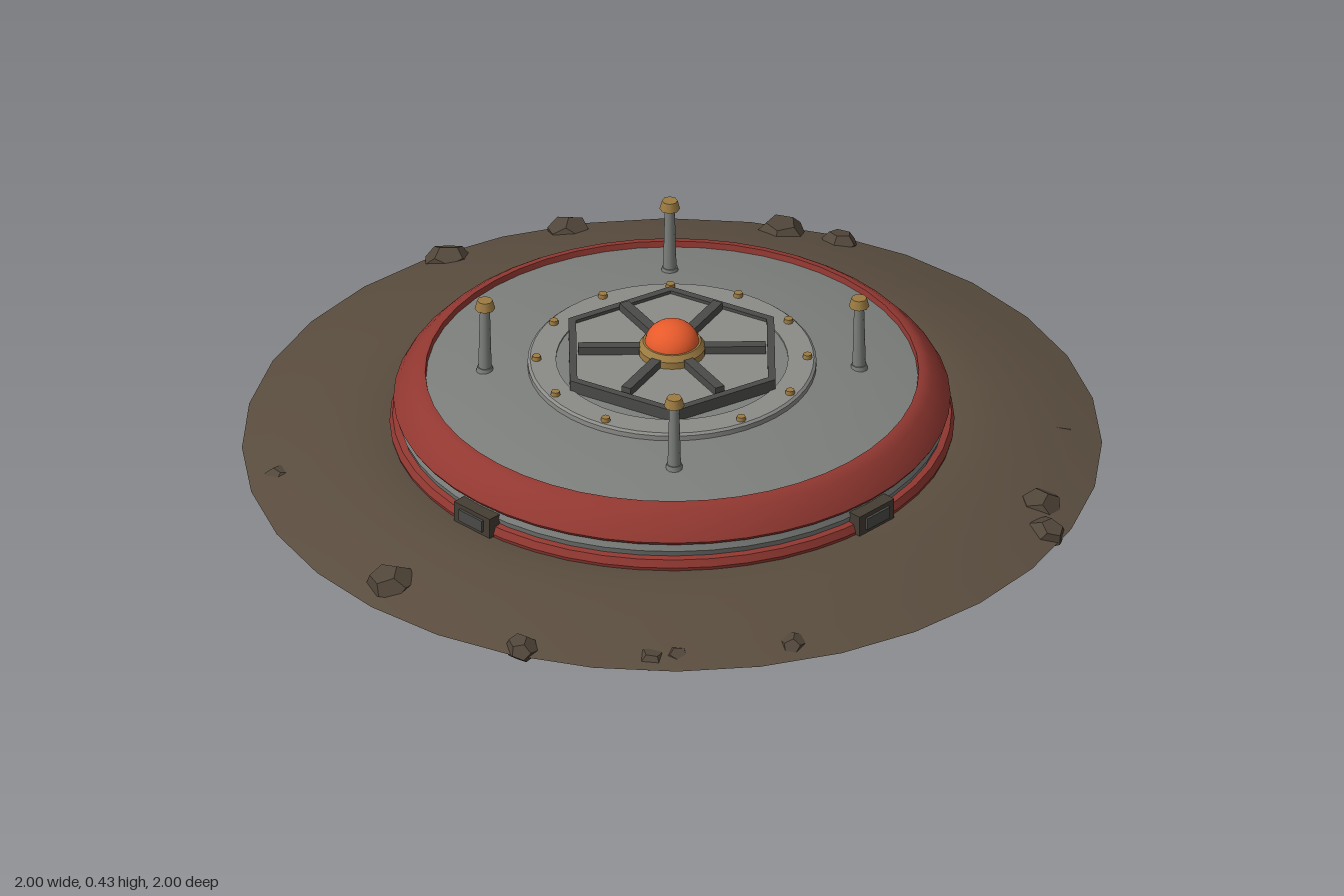
import * as THREE from 'three';
import { toCreasedNormals } from 'three/addons/utils/BufferGeometryUtils.js';

export function createModel() {
  const model = new THREE.Group();
  const mat = (name, color, extra = {}) => {
    const m = new THREE.MeshStandardMaterial({ color, ...extra });
    m.name = name;
    return m;
  };
  const soil = mat('soil', 0x5a4d3f);
  const stone = mat('stone', 0x51463a, { flatShading: true });
  const red = mat('red paint', 0x923831);
  const steel = mat('steel', 0x7c7f7b);
  const paleSteel = mat('pale steel', 0x8b8b88);
  const darkSteel = mat('dark steel', 0x4a4a48);
  const iron = mat('dark iron', 0x453d33);
  const brass = mat('brass', 0x9c7b42);
  const orange = mat('orange lamp', 0xe65a2b);

  const add = (name, geo, material, x = 0, y = 0, z = 0, parent = model) => {
    const mesh = new THREE.Mesh(geo, material);
    mesh.name = name;
    mesh.position.set(x, y, z);
    parent.add(mesh);
    return mesh;
  };
  const lathe = (name, points, segments, material, crease = 0.45) => add(name,
    toCreasedNormals(new THREE.LatheGeometry(points.map(p => new THREE.Vector2(...p)), segments), crease), material);

  // Soil mound with a flat underside
  lathe('soilMound', [[0, 0.03], [1, 0.03], [0.93, 0.052], [0.85, 0.073], [0.77, 0.09],
    [0.71, 0.096], [0.66, 0.092], [0.58, 0.08], [0, 0.08]], 32, soil, 0.6);

  // Faceted stones around the rim: x, z, radius, height of centre
  const stones = [
    [-0.51, -0.81, 0.057, 0.037], [-0.23, -0.935, 0.056, 0.036], [0.265, -0.92, 0.062, 0.037],
    [0.40, -0.87, 0.044, 0.042], [0.90, -0.02, 0.042, 0.034], [0.85, 0.30, 0.056, 0.045],
    [0.865, 0.405, 0.052, 0.036], [-0.91, 0.14, 0.042, 0.034], [-0.66, 0.63, 0.062, 0.05],
    [-0.36, 0.90, 0.046, 0.036], [-0.06, 0.945, 0.038, 0.03], [0, 0.935, 0.034, 0.033],
    [0.27, 0.895, 0.04, 0.037],
    // mostly buried
    [-0.72, -0.3, 0.05, 0.03], [0.6, -0.5, 0.05, 0.03], [0.5, 0.6, 0.05, 0.03], [-0.2, -0.72, 0.045, 0.03],
  ];
  const stoneGroup = new THREE.Group();
  stoneGroup.name = 'stones';
  model.add(stoneGroup);
  stones.forEach(([x, z, r, y], i) => {
    const geo = new THREE.DodecahedronGeometry(1, 0);
    geo.rotateX(i * 1.3);
    geo.rotateY(i * 2.1);
    geo.scale(r, Math.min(r * 0.65, y), r * (0.82 + 0.06 * (i % 3)));
    geo.rotateY(i * 0.9);
    add('stone', geo, stone, x, y, z, stoneGroup);
  });

  // Stacked casing rings
  lathe('lowerRing', [[0.6, 0.06], [0.652, 0.08], [0.657, 0.1], [0.65, 0.118], [0.62, 0.122]], 48, red);
  lathe('middleBand', [[0.62, 0.118], [0.635, 0.12], [0.64, 0.135], [0.635, 0.15], [0.61, 0.152]], 48, steel);
  lathe('bandSeam', [[0.61, 0.148], [0.634, 0.148], [0.634, 0.158], [0.6, 0.158]], 48, darkSteel);
  lathe('upperRing', [[0.6, 0.155], [0.643, 0.155], [0.648, 0.163], [0.635, 0.186], [0.605, 0.219],
    [0.588, 0.231], [0.574, 0.232], [0.57, 0.205]], 48, red, 0.6);

  // Domed top plate
  lathe('domePlate', [[0.578, 0.216], [0.5, 0.231], [0.42, 0.241], [0.33, 0.25], [0.2, 0.257], [0, 0.26]], 48, steel);

  // Bolted flange with a recessed floor
  lathe('flange', [[0.336, 0.24], [0.336, 0.262], [0.33, 0.267], [0.27, 0.267], [0.27, 0.25]], 48, paleSteel);
  const floor = add('flangeFloor', new THREE.CircleGeometry(0.272, 48), steel, 0, 0.263, 0);
  floor.rotation.x = -Math.PI / 2;
  for (let i = 0; i < 12; i++) {
    const a = i * Math.PI / 6;
    add('flangeBolt', new THREE.CylinderGeometry(0.01, 0.012, 0.016, 8), brass,
      Math.sin(a) * 0.315, 0.269, Math.cos(a) * 0.315);
  }

  // Hexagonal hatch: panel, raised frame and six spokes
  const hexPoints = r => Array.from({ length: 6 }, (_, i) => {
    const a = Math.PI / 2 + i * Math.PI / 3;
    return new THREE.Vector2(Math.cos(a) * r, Math.sin(a) * r);
  });
  const frameShape = new THREE.Shape(hexPoints(0.276));
  frameShape.holes.push(new THREE.Path(hexPoints(0.256)));
  const frameGeo = new THREE.ExtrudeGeometry(frameShape, { depth: 0.034, bevelEnabled: false });
  frameGeo.rotateX(-Math.PI / 2);
  add('hatchFrame', frameGeo, darkSteel, 0, 0.259, 0);
  const panelGeo = new THREE.ExtrudeGeometry(new THREE.Shape(hexPoints(0.257)), { depth: 0.026, bevelEnabled: false });
  panelGeo.rotateX(-Math.PI / 2);
  add('hatchPanel', panelGeo, paleSteel, 0, 0.259, 0);
  for (let i = 0; i < 6; i++) {
    const a = i * Math.PI / 3;
    const spoke = add('hatchSpoke', new THREE.BoxGeometry(0.17, 0.024, 0.024), darkSteel,
      Math.cos(a) * 0.133, 0.293, -Math.sin(a) * 0.133);
    spoke.rotation.y = a;
  }

  // Central lamp in a brass collar
  lathe('lampCollar', [[0.078, 0.28], [0.078, 0.302], [0.068, 0.316], [0.055, 0.316]], 24, brass);
  const lamp = add('lamp', new THREE.SphereGeometry(0.064, 24, 12, 0, Math.PI * 2, 0, Math.PI / 2), orange, 0, 0.308, 0);
  lamp.scale.y = 0.9;

  for (let i = 0; i < 4; i++) {
    // Trigger prongs on the dome
    const a = i * Math.PI / 2;
    const prong = new THREE.Group();
    prong.name = 'prong';
    prong.position.set(Math.sin(a) * 0.435, 0, Math.cos(a) * 0.435);
    model.add(prong);
    add('prongFoot', new THREE.CylinderGeometry(0.018, 0.021, 0.016, 12), steel, 0, 0.241, 0, prong);
    add('prongRod', new THREE.CylinderGeometry(0.0115, 0.016, 0.18, 12), steel, 0, 0.322, 0, prong);
    add('prongCap', new THREE.CylinderGeometry(0.018, 0.024, 0.022, 8), brass, 0, 0.418, 0, prong);

    // Side latches on the diagonals
    const latch = new THREE.Group();
    latch.name = 'latch';
    latch.rotation.y = a + Math.PI / 4;
    model.add(latch);
    add('latchBody', new THREE.BoxGeometry(0.115, 0.052, 0.05), iron, 0, 0.12, 0.641, latch);
    add('latchPlate', new THREE.BoxGeometry(0.075, 0.03, 0.008), darkSteel, 0, 0.12, 0.668, latch);
  }
  return model;
}
